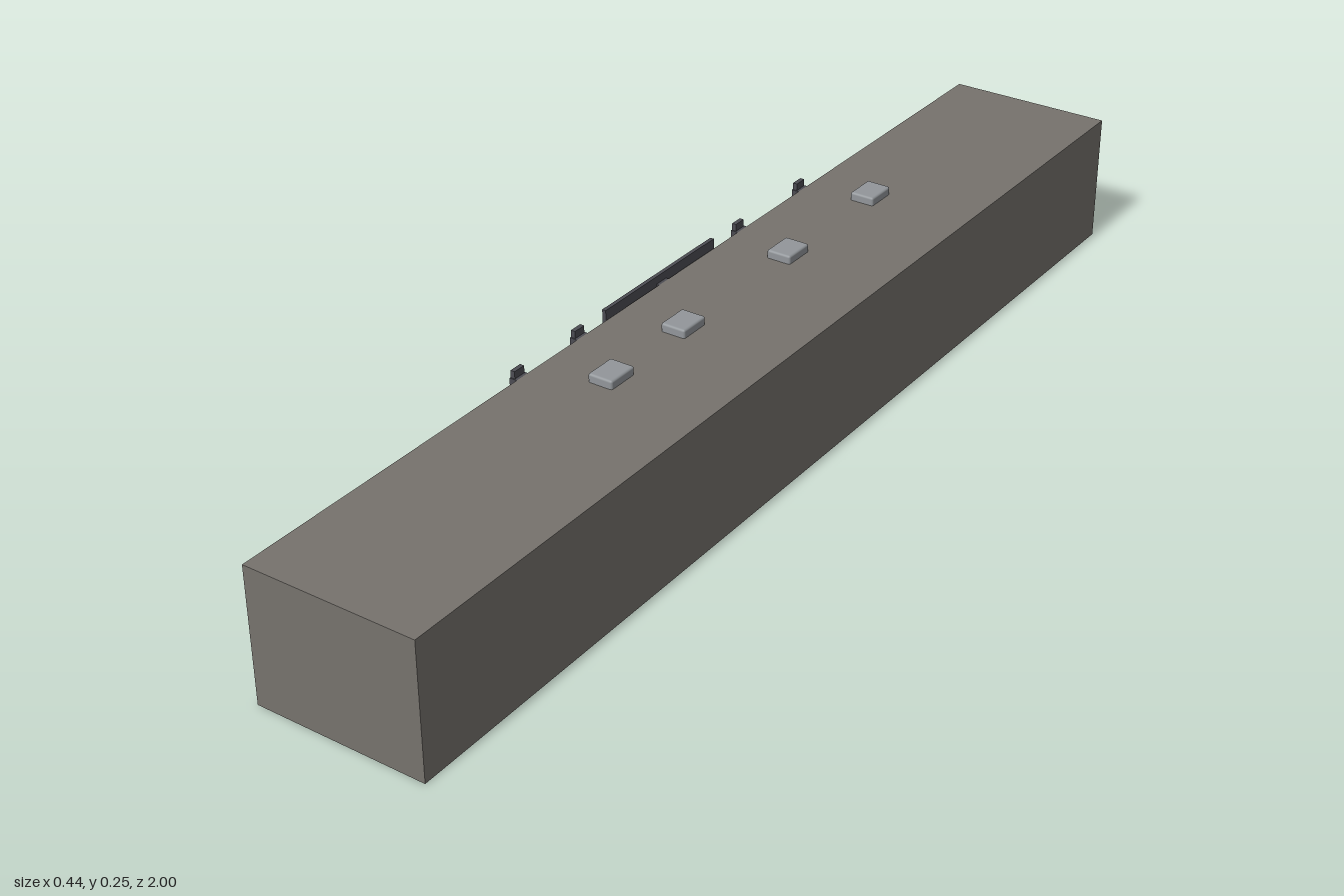
import * as THREE from 'three';
import { RoundedBoxGeometry } from 'three/addons/geometries/RoundedBoxGeometry.js';

const mat = (name, color) => {
  const m = new THREE.MeshStandardMaterial({ color });
  m.name = name;
  return m;
};

export function createModel() {
  const model = new THREE.Group();
  model.name = 'longBuilding';
  const wall = mat('warmGreyWall', 0x76726d);
  const dark = mat('darkSlate', 0x4c4c53);
  const black = mat('blackGlass', 0x0b0b0c);
  const wood = mat('wood', 0x9c7b48);
  const pale = mat('paleMetal', 0x92969a);

  // Box given by its low and high corners
  const box = (name, material, x0, x1, y0, y1, z0, z1, parent = model) => {
    const mesh = new THREE.Mesh(new THREE.BoxGeometry(x1 - x0, y1 - y0, z1 - z0), material);
    mesh.position.set((x0 + x1) / 2, (y0 + y1) / 2, (z0 + z1) / 2);
    mesh.name = name;
    parent.add(mesh);
    return mesh;
  };

  const face = -0.088; // street wall of the hall
  box('hall', wall, face, 0.22, 0, 0.24, -1, 1);

  // Roof skylights
  for (const z of [-0.47, -0.2, 0.11, 0.305]) {
    const s = new THREE.Mesh(new RoundedBoxGeometry(0.046, 0.022, 0.06, 2, 0.004), pale);
    s.position.set(0.028, 0.244, z);
    s.name = 'skylight';
    model.add(s);
  }

  // Facade columns with raised caps
  const columns = [-0.43, -0.235, 0, 0.225, 0.38];
  for (const z of columns) {
    box('column', dark, -0.102, face, 0, 0.24, z - 0.014, z + 0.014);
    box('columnCap', dark, -0.101, -0.093, 0.24, 0.253, z - 0.012, z + 0.012);
  }

  // Dark glazing between the columns
  for (let i = 0; i < columns.length - 1; i++) {
    const a = columns[i] + 0.014, b = columns[i + 1] - 0.014;
    box('glazing', black, face - 0.003, face, 0, 0.215, a, b);
  }

  // Wooden door panel and small counter in the first bay
  box('woodPanel', wood, face - 0.005, face, 0.09, 0.19, -0.405, -0.355);
  box('counter', pale, face - 0.006, face, 0.085, 0.11, -0.41, -0.345);

  // Raised front board with vent slots
  box('frontBoard', dark, -0.1, -0.093, 0.18, 0.254, -0.155, 0.155);
  for (let r = 0; r < 3; r++) {
    for (const z of [-0.06, 0.02]) {
      box('ventSlot', black, -0.1015, -0.1, 0.195 + r * 0.016, 0.204 + r * 0.016, z, z + 0.06);
    }
  }

  // Low shutters with slotted heads
  for (const [z0, z1] of [[-0.74, -0.65], [-0.59, -0.485], [0.485, 0.588]]) {
    box('shutter', black, face - 0.004, face, 0, 0.1, z0, z1);
    box('shutterHead', dark, face - 0.006, face, 0.1, 0.125, z0, z1);
    const step = (z1 - z0) / 5;
    for (let i = 0; i < 4; i++) {
      const z = z0 + step * (i + 0.65);
      box('headSlot', black, face - 0.0075, face - 0.006, 0.107, 0.118, z, z + step * 0.6);
    }
  }

  // Small window past the last column
  box('sideWindowFrame', dark, face - 0.004, face, 0.045, 0.115, 0.394, 0.435);
  box('sideWindow', black, face - 0.005, face - 0.004, 0.05, 0.105, 0.4, 0.43);

  // Entrance canopy on two thin posts
  box('canopy', wood, -0.222, face - 0.003, 0.087, 0.092, -0.118, 0.11);
  for (const z of [-0.075, 0.065]) {
    box('canopyPost', wood, -0.196, -0.191, 0, 0.087, z - 0.0025, z + 0.0025);
  }
  return model;
}
